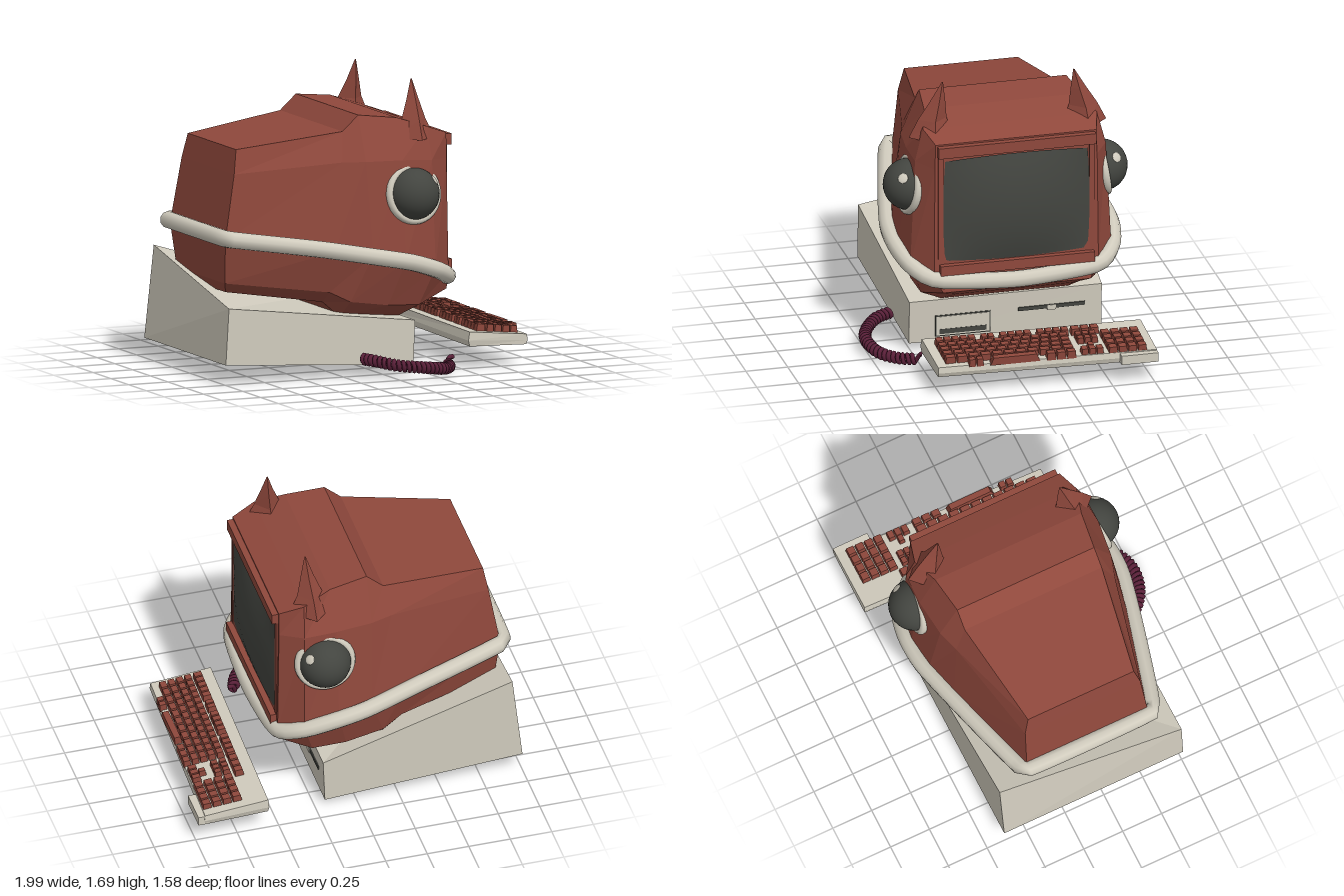
import * as THREE from 'three';
import { mergeGeometries } from 'three/addons/utils/BufferGeometryUtils.js';

const CZ = -0.065; // centre line of the computer

// Solid skinned over rings (bottom to top), each counterclockwise from above
function loft(rings) {
  const pos = [], n = rings[0].length;
  const quad = (a, b, c, d) => pos.push(...a, ...b, ...c, ...a, ...c, ...d);
  for (let r = 0; r + 1 < rings.length; r++) {
    for (let i = 0; i < n; i++) {
      const j = (i + 1) % n, a = rings[r], b = rings[r + 1];
      quad(a[i], a[j], b[j], b[i]);
    }
  }
  const lo = rings[0], hi = rings[rings.length - 1];
  for (let i = 0; i < n / 2 - 1; i++) {
    const j = n - 1 - i;
    quad(hi[i], hi[i + 1], hi[j - 1], hi[j]);
    quad(lo[j], lo[j - 1], lo[i + 1], lo[i]);
  }
  const g = new THREE.BufferGeometry();
  g.setAttribute('position', new THREE.Float32BufferAttribute(pos, 3));
  g.computeVertexNormals();
  return g;
}

// Mirrored ring from stations [x, y, halfWidth], back to front
const ring = (st) => [
  ...st.map(([x, y, w]) => [x, y, CZ + w]),
  ...[...st].reverse().map(([x, y, w]) => [x, y, CZ - w]),
];

export function createModel() {
  const model = new THREE.Group();
  const mat = (name, color) => Object.assign(new THREE.MeshStandardMaterial({ color }), { name });
  const red = mat('brick red', 0x8f483c);
  const cream = mat('cream plastic', 0xd0cbbd);
  const dark = mat('dark glass', 0x434540);
  const plum = mat('plum cord', 0x5a2039);
  const add = (name, geo, m, parent = model) => {
    const mesh = new THREE.Mesh(geo, m);
    mesh.name = name;
    parent.add(mesh);
    return mesh;
  };
  const box = (name, size, at, m) => add(name, new THREE.BoxGeometry(...size), m).position.set(...at);

  // Wedge-shaped system unit with a top that rises to the far back corner
  add('systemUnit', loft([
    [[-1, 0.12, 0.51], [0.19, 0.05, 0.51], [0.19, 0.04, -0.64], [-1, 0.12, -0.64]],
    [[-0.98, 0.45, 0.51], [0.2, 0.31, 0.51], [0.2, 0.31, -0.64], [-0.94, 0.66, -0.64]],
  ]), cream);

  // Drive panel and disk slot on the unit's front
  box('driveFrame', [0.012, 0.13, 0.33], [0.194, 0.145, 0.19], dark);
  box('drivePanel', [0.016, 0.115, 0.315], [0.195, 0.145, 0.19], cream);
  box('driveOpening', [0.018, 0.03, 0.28], [0.196, 0.11, 0.19], dark);
  box('diskSlot', [0.012, 0.022, 0.4], [0.197, 0.2, -0.34], dark);
  box('diskLatch', [0.016, 0.03, 0.05], [0.198, 0.195, -0.34], cream);

  // Monitor head
  add('monitorBody', loft([
    ring([[-0.87, 0.5, 0.28], [-0.3, 0.42, 0.38], [-0.2, 0.33, 0.4], [0, 0.32, 0.4], [0.18, 0.31, 0.38], [0.4, 0.42, 0.35]]),
    ring([[-0.9, 0.56, 0.34], [-0.3, 0.49, 0.48], [-0.18, 0.43, 0.51], [0.05, 0.4, 0.53], [0.25, 0.39, 0.52], [0.46, 0.46, 0.44]]),
    ring([[-0.92, 0.82, 0.39], [-0.3, 0.74, 0.56], [-0.08, 0.71, 0.61], [0.12, 0.67, 0.63], [0.32, 0.61, 0.6], [0.45, 0.56, 0.49]]),
    ring([[-0.855, 1.2, 0.37], [-0.23, 1.25, 0.51], [-0.1, 1.25, 0.55], [0.12, 1.25, 0.575], [0.31, 1.24, 0.57], [0.44, 1.23, 0.485]]),
    ring([[-0.83, 1.34, 0.34], [-0.2, 1.42, 0.44], [-0.1, 1.51, 0.44], [0.13, 1.485, 0.47], [0.3, 1.43, 0.52], [0.44, 1.38, 0.48]]),
  ]), red);

  // Bezel around the screen
  box('bezelTop', [0.06, 0.065, 0.94], [0.448, 1.338, CZ], red);
  box('bezelBottom', [0.06, 0.06, 0.92], [0.455, 0.605, CZ], red);
  for (const s of [1, -1]) box('bezelSide', [0.04, 0.7, 0.03], [0.432, 0.97, CZ + s * 0.452], red);

  // Bulging screen, its outline bowed like a picture tube
  const screen = new THREE.PlaneGeometry(2, 2, 16, 16);
  const sp = screen.attributes.position;
  for (let i = 0; i < sp.count; i++) {
    const u = sp.getX(i), v = sp.getY(i);
    sp.setXYZ(i,
      0.448 + 0.052 * (1 - u * u) * (1 - v * v) + 0.006 * (1 - u * u),
      0.965 + 0.31 * v * (1 + 0.05 * (1 - u * u)),
      CZ - 0.425 * u * (1 + 0.03 * (1 - v * v)));
  }
  screen.computeVertexNormals();
  add('screen', screen, dark);

  // Lip band running round the head
  const half = [[-0.935, 0.835, 0.36], [-0.88, 0.825, 0.43], [-0.4, 0.76, 0.56], [-0.05, 0.7, 0.64],
    [0.15, 0.66, 0.645], [0.33, 0.6, 0.6], [0.45, 0.54, 0.47]];
  const path = ring(half).map((p) => new THREE.Vector3(...p));
  path.splice(half.length, 0, new THREE.Vector3(0.475, 0.51, CZ));
  add('lipBand', new THREE.TubeGeometry(new THREE.CatmullRomCurve3(path, true, 'catmullrom', 0.35), 90, 0.05, 10, true), cream);

  for (const s of [1, -1]) {
    // Pointed ears
    const earRing = (x, y, w, dx, dw) => {
      const p = [[x - dx, y, CZ + s * w], [x, y, CZ + s * w + dw], [x + dx, y, CZ + s * w], [x, y, CZ + s * w - dw]];
      return p;
    };
    add('ear', loft([
      earRing(0.24, 1.36, 0.46, 0.13, 0.13),
      earRing(0.245, 1.47, 0.45, 0.075, 0.085),
      earRing(0.253, 1.58, 0.42, 0.038, 0.045),
      earRing(0.257, 1.695, 0.393, 0.004, 0.004),
    ]), red);

    // Bulging eyes with rims and glints
    const eye = new THREE.Group();
    eye.name = s > 0 ? 'rightEye' : 'leftEye';
    eye.position.set(0.19, 1.05, CZ + s * 0.575);
    model.add(eye);
    add('eyeball', new THREE.SphereGeometry(0.152, 28, 20), dark, eye);
    const rim = add('eyeRim', new THREE.TorusGeometry(0.157, 0.023, 10, 36), cream, eye);
    rim.scale.z = 1.15;
    rim.rotation.set(-s * 0.16, s * 0.1, 0);
    const glint = add('eyeGlint', new THREE.SphereGeometry(0.03, 12, 8), cream, eye);
    const dir = new THREE.Vector3(0.11, 0.085, s * 0.065).normalize();
    glint.scale.z = 0.25;
    glint.quaternion.setFromUnitVectors(new THREE.Vector3(0, 0, 1), dir);
    glint.position.copy(dir).multiplyScalar(0.149);
  }

  // Keyboard case, wider at one end
  add('keyboardCase', loft([
    [[0.54, 0.135, 0.525], [0.9, 0.125, 0.52], [0.945, 0.12, -0.77], [0.57, 0.135, -0.77]],
    [[0.53, 0.17, 0.53], [0.91, 0.15, 0.52], [0.955, 0.15, -0.78], [0.565, 0.17, -0.78]],
    [[0.54, 0.22, 0.525], [0.905, 0.185, 0.52], [0.95, 0.185, -0.775], [0.57, 0.22, -0.775]],
  ]), cream);
  box('keyboardCorner', [0.06, 0.055, 0.22], [0.96, 0.152, -0.665], cream);

  // Keys: tapered caps following the sloped deck
  const keys = [];
  const key = (x, z, w, d) => {
    const g = new THREE.BoxGeometry(w, 0.045, d), p = g.attributes.position;
    for (let i = 0; i < p.count; i++) {
      if (p.getY(i) > 0) p.setXYZ(i, p.getX(i) * 0.82, p.getY(i), p.getZ(i) * 0.86);
    }
    g.rotateZ(-0.1);
    const kx = x - 0.027 * z;
    keys.push(g.translate(kx, 0.232 - 0.11 * (kx - 0.62), z));
  };
  const row = (x, z0, z1, n, w = 0.045) => {
    const step = (z1 - z0) / n;
    for (let i = 0; i < n; i++) key(x, z0 + step * (i + 0.5), w, step * 0.9);
  };
  [[-0.5, -0.33, 3], [-0.32, -0.13, 4], [-0.1, 0.09, 4], [0.12, 0.2, 2], [0.23, 0.47, 5]]
    .forEach(([a, b, n]) => row(0.65, a, b, n, 0.055));
  for (let r = 0; r < 4; r++) row(0.72 + r * 0.06, -0.72, -0.49, 4, 0.055);
  row(0.715, -0.465, -0.34, 3);
  row(0.765, -0.465, -0.34, 3);
  row(0.895, -0.465, -0.33, 3, 0.055);
  row(0.85, -0.42, -0.38, 1);
  for (let r = 0; r < 4; r++) row(0.71 + r * 0.05, -0.3, 0.47, 14 - r);
  row(0.91, -0.3, -0.12, 3);
  row(0.91, -0.1, 0.23, 1);
  row(0.91, 0.25, 0.34, 2);
  add('keys', mergeGeometries(keys), red);

  // Coiled cord
  const spine = new THREE.CatmullRomCurve3([
    [-0.15, 0.11, 0.54], [-0.1, 0.105, 0.63], [0, 0.085, 0.715], [0.14, 0.07, 0.75],
    [0.28, 0.05, 0.71], [0.37, 0.04, 0.61], [0.4, 0.04, 0.53],
  ].map((p) => new THREE.Vector3(...p)));
  const steps = 320, turns = 27, frames = spine.computeFrenetFrames(steps);
  const coil = [];
  for (let i = 0; i <= steps; i++) {
    const a = (i / steps) * turns * Math.PI * 2;
    coil.push(spine.getPointAt(i / steps)
      .addScaledVector(frames.normals[i], Math.cos(a) * 0.024)
      .addScaledVector(frames.binormals[i], Math.sin(a) * 0.024));
  }
  coil.push(new THREE.Vector3(0.42, 0.075, 0.5), new THREE.Vector3(0.45, 0.078, 0.49));
  add('coiledCord', new THREE.TubeGeometry(new THREE.CatmullRomCurve3(coil), 800, 0.0135, 6), plum);

  return model;
}
